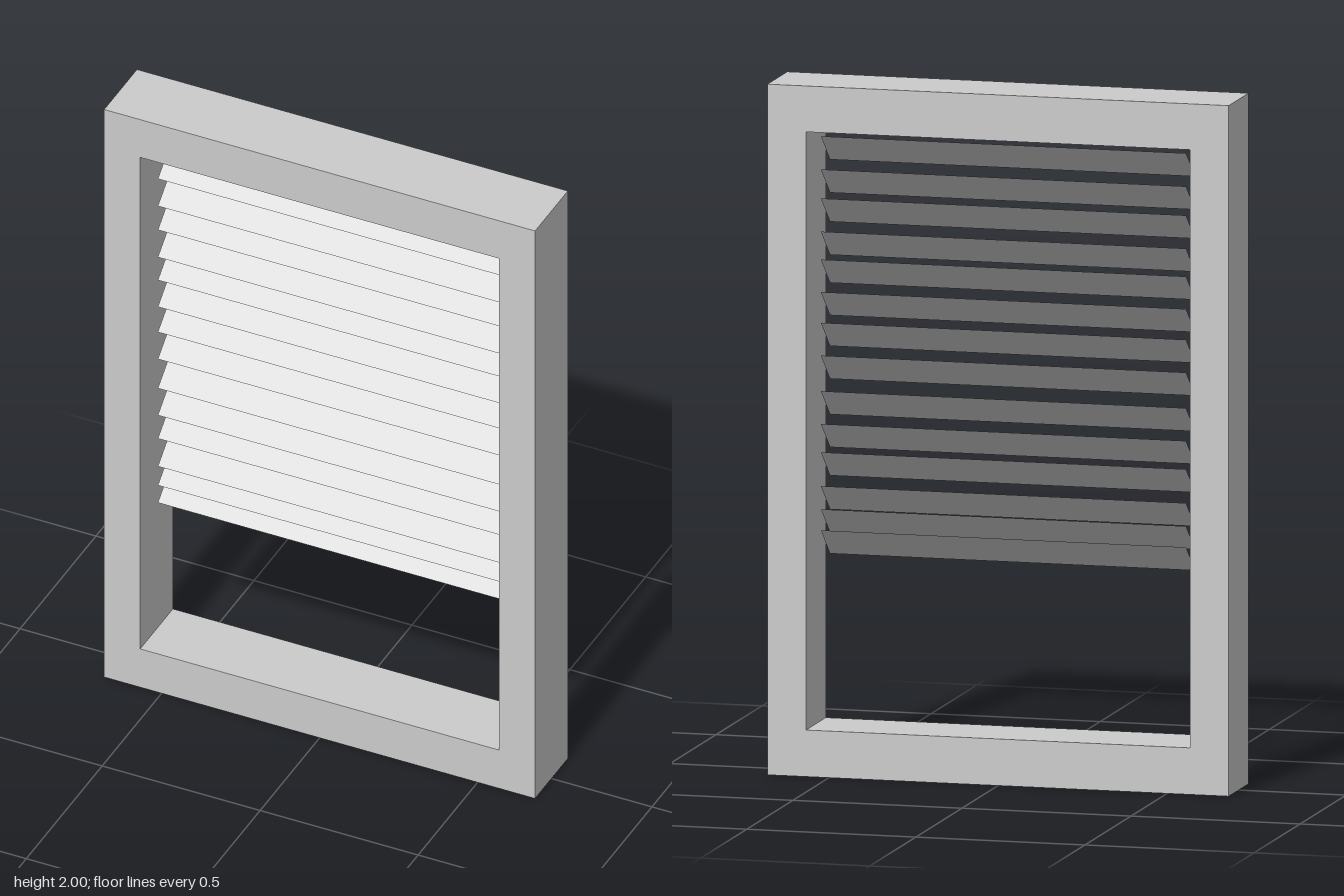
import * as THREE from 'three';

export function createModel() {
  const group = new THREE.Group();
  const grey = new THREE.MeshStandardMaterial({ color: 0xcccccc });
  const thinGrey = new THREE.MeshStandardMaterial({ color: 0xcccccc, side: THREE.DoubleSide });

  const rectangle = (path, halfWidth, bottom, top) => {
    path.moveTo(-halfWidth, bottom);
    path.lineTo(halfWidth, bottom);
    path.lineTo(halfWidth, top);
    path.lineTo(-halfWidth, top);
    path.closePath();
    return path;
  };

  // Window frame: one slab with a rectangular opening
  const depth = 0.216;
  const outline = rectangle(new THREE.Shape(), 0.682, 0, 2);
  outline.holes.push(rectangle(new THREE.Path(), 0.568, 0.135, 1.867));
  const frameGeometry = new THREE.ExtrudeGeometry(outline, { depth, bevelEnabled: false });
  frameGeometry.translate(0, 0, -depth / 2);
  const frame = new THREE.Mesh(frameGeometry, grey);
  frame.name = 'windowFrame';
  group.add(frame);

  // Blind: thin slats sloping down to the front, unevenly spaced and bunched at the bottom
  const blind = new THREE.Group();
  blind.name = 'blind';
  const slatGeometry = new THREE.PlaneGeometry(1.08, 0.13);
  slatGeometry.rotateX(-THREE.MathUtils.degToRad(50));
  const slatHeights = [
    1.804, 1.708, 1.624, 1.528, 1.447, 1.353, 1.264,
    1.169, 1.066, 0.971, 0.889, 0.791, 0.724, 0.663,
  ];
  slatHeights.forEach((y, i) => {
    const slat = new THREE.Mesh(slatGeometry, thinGrey);
    slat.name = `slat${i + 1}`;
    slat.position.y = y;
    blind.add(slat);
  });
  group.add(blind);

  return group;
}
